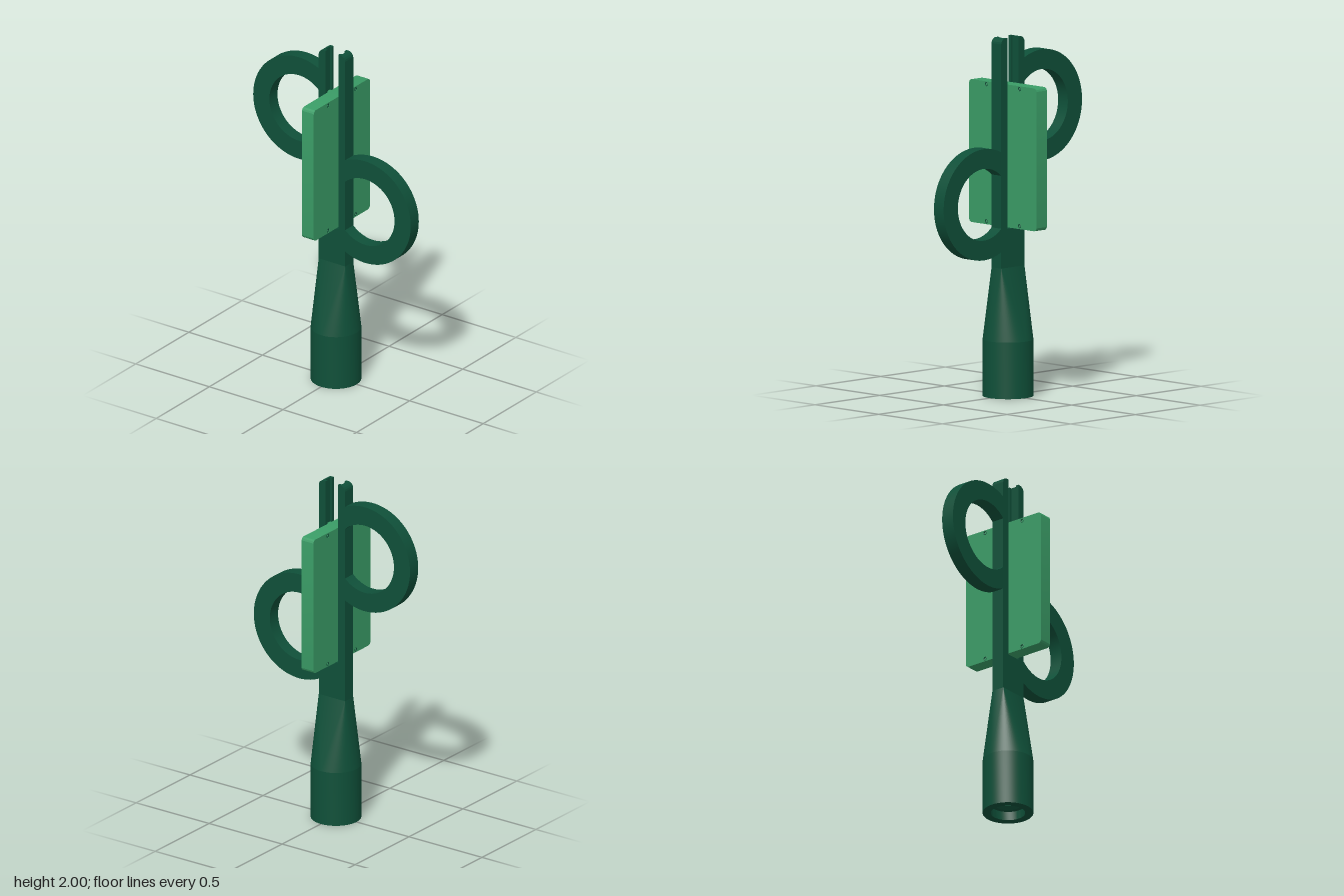
import * as THREE from 'three';
import { toCreasedNormals } from 'three/addons/utils/BufferGeometryUtils.js';

const DEPTH = 0.076; // thickness of fork and rings
const HALF = 0.09;   // half width of fork
const FLOOR = 0.937; // bottom of the slot
const NECK = 0.72;   // where the taper meets the fork

// Extrusion centred on its depth axis
function slab(shape, depth) {
  const g = new THREE.ExtrudeGeometry(shape, { depth, bevelEnabled: false, curveSegments: 40 });
  g.translate(0, 0, -depth / 2);
  return toCreasedNormals(g, 0.6);
}

// Round foot blending to the rectangular fork
function taperGeometry(r, y0, y1, hx, hz) {
  const n = 64, pos = [];
  const foot = i => [r * Math.cos(i * 2 * Math.PI / n), y0, r * Math.sin(i * 2 * Math.PI / n)];
  const corners = [[hx, y1, hz], [-hx, y1, hz], [-hx, y1, -hz], [hx, y1, -hz]];
  for (let i = 0; i < n; i++) {
    const q = Math.floor(i / (n / 4));
    pos.push(...foot(i), ...corners[q], ...foot(i + 1));
    if (i % (n / 4) === 0) pos.push(...foot(i), ...corners[(q + 3) % 4], ...corners[q]);
  }
  const g = new THREE.BufferGeometry();
  g.setAttribute('position', new THREE.Float32BufferAttribute(pos, 3));
  return toCreasedNormals(g, 0.5);
}

// Upright U with rounded outer tips
function forkShape() {
  const s = new THREE.Shape(), inner = 0.057, r = 0.033;
  s.moveTo(-HALF, NECK);
  s.lineTo(HALF, NECK);
  s.lineTo(HALF, 2 - r);
  s.absarc(HALF - r, 2 - r, r, 0, Math.PI / 2, false);
  s.lineTo(inner, 2);
  s.lineTo(inner, FLOOR);
  s.lineTo(-inner, FLOOR);
  s.lineTo(-inner, 2);
  s.lineTo(-HALF + r, 2);
  s.absarc(-HALF + r, 2 - r, r, Math.PI / 2, Math.PI, false);
  s.closePath();
  return s;
}

// Ring cut off where it joins the fork; opens toward -x
function ringShape() {
  const s = new THREE.Shape(), R = 0.31, r = 0.2, cut = 0.136;
  const a = Math.PI - Math.acos(cut / R), b = Math.PI - Math.acos(cut / r);
  s.absarc(0, 0, R, -a, a, false);
  s.absarc(0, 0, r, b, -b, true);
  s.closePath();
  return s;
}

// Rounded panel outline, optionally with screw holes
function panelShape(withHoles) {
  const s = new THREE.Shape(), w = 0.265, h = 0.398, r = 0.022;
  s.absarc(w - r, h - r, r, 0, Math.PI / 2, false);
  s.absarc(-w + r, h - r, r, Math.PI / 2, Math.PI, false);
  s.absarc(-w + r, -h + r, r, Math.PI, Math.PI * 1.5, false);
  s.absarc(w - r, -h + r, r, Math.PI * 1.5, Math.PI * 2, false);
  s.closePath();
  if (withHoles) {
    for (const x of [-0.13, 0.13]) for (const y of [-0.382, 0.382]) {
      const hole = new THREE.Path();
      hole.absarc(x, y, 0.012, 0, Math.PI * 2, true);
      s.holes.push(hole);
    }
  }
  return s;
}

export function createModel() {
  const model = new THREE.Group();
  const dark = new THREE.MeshStandardMaterial({ name: 'darkGreen', color: 0x0f5039 });
  const light = new THREE.MeshStandardMaterial({ name: 'lightGreen', color: 0x3a9c66 });

  const add = (parent, name, geometry, material, x = 0, y = 0, z = 0) => {
    const m = new THREE.Mesh(geometry, material);
    m.name = name;
    m.position.set(x, y, z);
    parent.add(m);
    return m;
  };

  // Hollow socket with a threaded bore
  const profile = [[0, 0.25], [0.04, 0.25]];
  for (let i = 0; i < 5; i++) {
    const y = 0.23 - i * 0.036;
    profile.push([0.072, y], [0.055, y - 0.018]);
  }
  profile.push([0.072, 0.05], [0.095, 0.05], [0.095, 0], [0.14, 0], [0.14, 0.315]);
  const socket = new THREE.LatheGeometry(profile.map(p => new THREE.Vector2(...p)), 64);
  add(model, 'socket', toCreasedNormals(socket, 0.5), dark);

  add(model, 'taper', taperGeometry(0.14, 0.315, NECK, HALF, DEPTH / 2), dark);

  // Fork with rails that leave a groove in each prong
  const fork = new THREE.Group();
  fork.name = 'fork';
  model.add(fork);
  add(fork, 'forkBody', slab(forkShape(), DEPTH), dark);
  const rail = new THREE.BoxGeometry(0.014, 2 - FLOOR, 0.016);
  for (const sx of [-1, 1]) for (const sz of [-1, 1]) {
    add(fork, 'grooveRail', rail, dark, sx * 0.05, (2 + FLOOR) / 2, sz * 0.03);
  }

  // Finger rings on opposite sides at different heights
  const ring = slab(ringShape(), DEPTH);
  add(model, 'leftRing', ring, dark, 0.225, 1.09);
  add(model, 'rightRing', ring, dark, -0.225, 1.6).rotation.y = Math.PI;

  // Panel held in the slot, with shallow screw holes on both faces
  const panel = new THREE.Group();
  panel.name = 'panel';
  panel.position.y = 1.343;
  model.add(panel);
  const turned = (shape, depth) => slab(shape, depth).rotateY(Math.PI / 2);
  add(panel, 'panelCore', turned(panelShape(false), 0.06), light);
  const skin = turned(panelShape(true), 0.01);
  const screw = new THREE.TorusGeometry(0.0095, 0.003, 6, 20).rotateY(Math.PI / 2);
  for (const sx of [-1, 1]) {
    add(panel, 'panelFace', skin, light, sx * 0.035);
    for (const z of [-0.13, 0.13]) for (const y of [-0.382, 0.382]) {
      add(panel, 'screwRim', screw, dark, sx * 0.037, y, z);
    }
    add(panel, 'guideTongue', new THREE.BoxGeometry(0.016, 0.79, 0.036), light, sx * 0.047);
  }
  return model;
}
